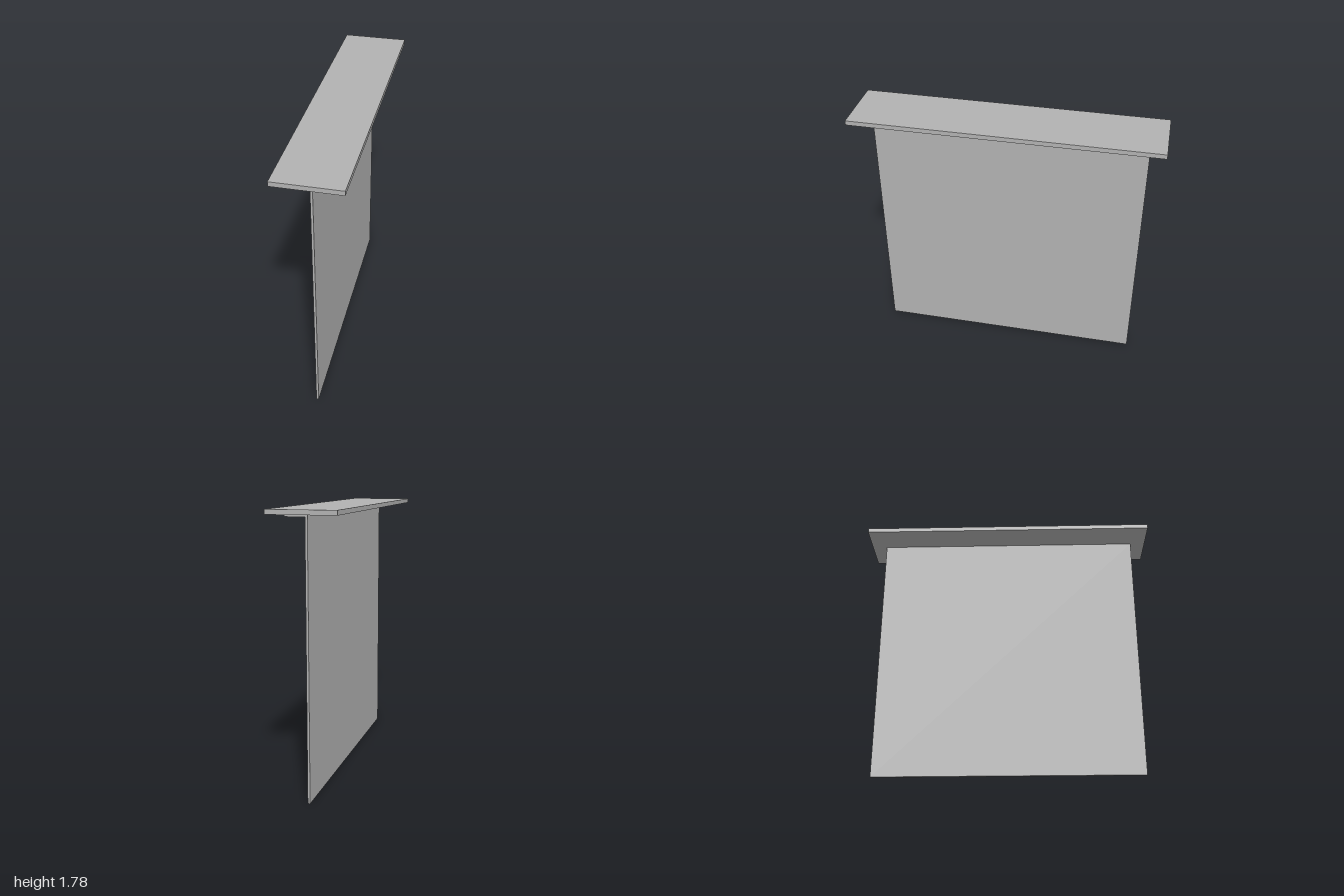
import * as THREE from 'three';

export function createModel() {
  const model = new THREE.Group();
  const grey = new THREE.MeshStandardMaterial({ color: 0xb2b2b2 });
  grey.name = 'plain grey';

  // Box given by its lower and upper limits in x and y, centred on z
  function slab(name, x0, x1, y0, y1, depth) {
    const mesh = new THREE.Mesh(new THREE.BoxGeometry(x1 - x0, y1 - y0, depth), grey);
    mesh.position.set((x0 + x1) / 2, (y0 + y1) / 2, 0);
    mesh.name = name;
    model.add(mesh);
  }

  // Wide shelf on top
  slab('topBoard', -0.214, 0.214, 1.749, 1.779, 2);
  // Thin upright sheet below it
  slab('uprightPanel', -0.0075, 0.0075, 0, 1.749, 1.796);
  // Fixing flange under the board, on the panel's left side
  slab('mountingFlange', 0.0075, 0.133, 1.733, 1.749, 1.796);

  return model;
}
